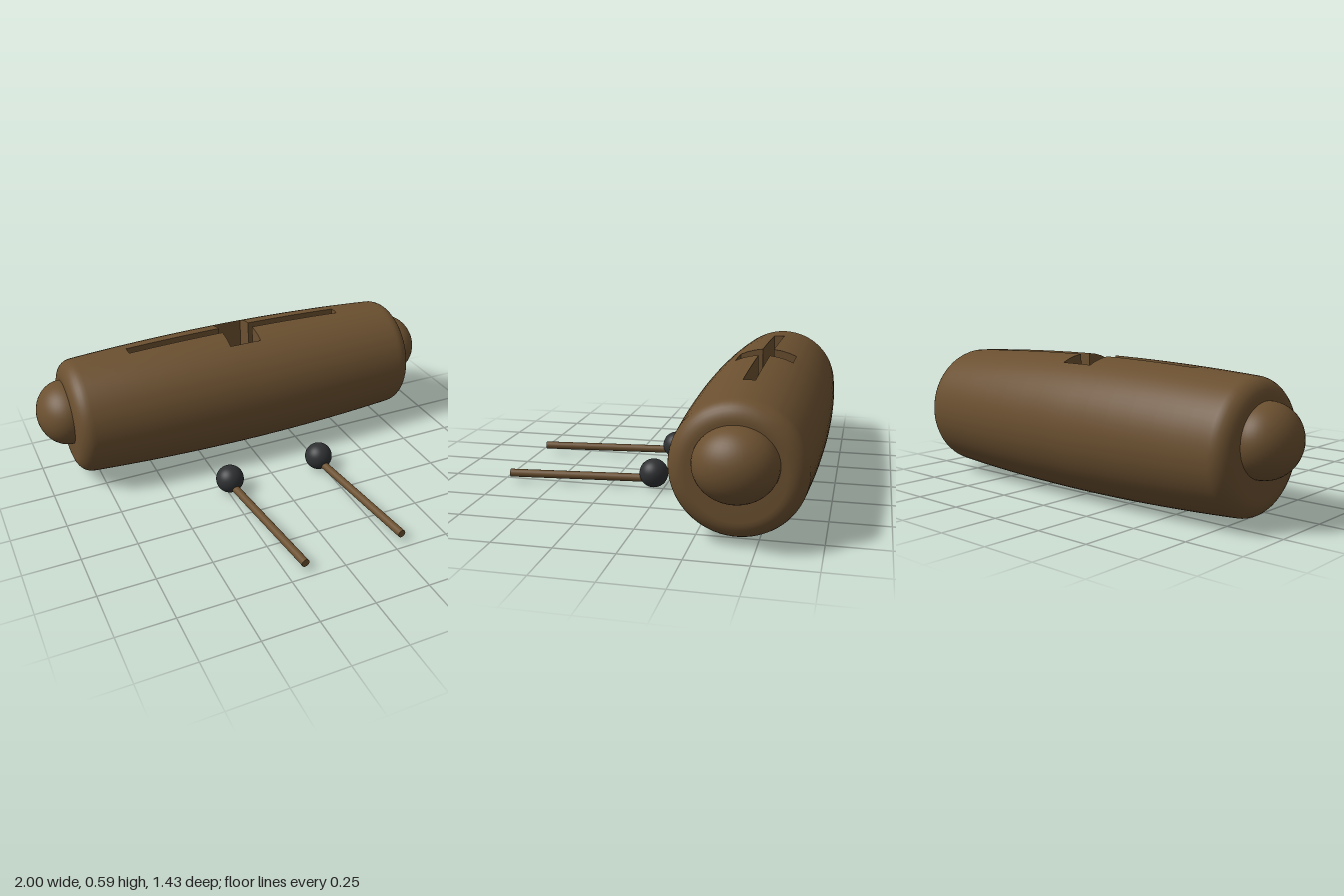
import * as THREE from 'three';

const CY = 0.301, CZ = -0.42;                       // drum axis
const SLOT_X = 0.545, SLOT_Z = 0.025;               // long narrow slit
const POCKET_X = 0.078, POCKET_Z = 0.128;           // wide centre opening
const FLOOR = 0.4;                                  // height of the carved floor

const radiusAt = (x) => 0.298 - 0.027 * (x / 0.79) ** 2;

// Barrel profile as [x, radius] from end to end
function barrelProfile() {
  const half = [0, 0.03, POCKET_X, 0.2, 0.31, 0.43, SLOT_X, 0.62, 0.7, 0.76, 0.79].map((x) => [x, radiusAt(x)]);
  for (let i = 1; i <= 8; i++) {
    const t = (i / 8) * Math.PI / 2;
    half.push([0.79 + 0.075 * Math.sin(t), 0.193 + 0.078 * Math.cos(t)]);
  }
  half.push([0.865, 0.1], [0.865, 0]);
  return [...half.slice(1).reverse().map(([x, r]) => [-x, r]), ...half];
}

// Barrel skin with the cross-shaped opening left out of its top
function barrelGeometry() {
  const rows = barrelProfile();
  const strip = [-POCKET_Z, -0.095, -0.06, -SLOT_Z, 0, SLOT_Z, 0.06, 0.095, POCKET_Z];
  const around = 56, cols = strip.length + around;
  const pos = [], index = [];
  for (const [x, r] of rows) {
    const k = Math.min(1, r / 0.26);
    const edge = r > 0 ? Math.asin(POCKET_Z * k / r) : 0.5;
    for (let j = 0; j < cols; j++) {
      let a;
      if (j < strip.length) a = r > 0 ? Math.asin(strip[j] * k / r) : strip[j] / 0.26;
      else a = edge + (2 * Math.PI - 2 * edge) * (j - strip.length + 1) / (around + 1);
      pos.push(x, CY + r * Math.cos(a), CZ + r * Math.sin(a));
    }
  }
  for (let i = 0; i < rows.length - 1; i++) {
    const mx = Math.abs(rows[i][0] + rows[i + 1][0]) / 2;
    for (let j = 0; j < cols; j++) {
      if (j < strip.length - 1) {
        const mz = Math.abs(strip[j] + strip[j + 1]) / 2;
        if ((mx < POCKET_X && mz < POCKET_Z) || (mx < SLOT_X && mz < SLOT_Z)) continue;
      }
      const n = (j + 1) % cols;
      const a = i * cols + j, b = i * cols + n, c = a + cols, d = b + cols;
      index.push(a, b, c, b, d, c);
    }
  }
  const g = new THREE.BufferGeometry();
  g.setAttribute('position', new THREE.Float32BufferAttribute(pos, 3));
  g.setIndex(index);
  g.computeVertexNormals();
  return g;
}

// Outline of the cross-shaped opening in x and z, mirrored from one quarter
function openingOutline() {
  const q = [[SLOT_X, 0], ...[SLOT_X, 0.43, 0.31, 0.2, POCKET_X].map((x) => [x, SLOT_Z]),
    ...[0.06, 0.095, POCKET_Z].map((z) => [POCKET_X, z]), [0.03, POCKET_Z], [0, POCKET_Z]];
  const flip = (sx, sz) => q.map(([x, z]) => [x * sx, z * sz]);
  return [flip(1, 1), flip(-1, 1).reverse(), flip(-1, -1), flip(1, -1).reverse()]
    .flatMap((part) => part.slice(0, -1));
}

function wallGeometry(outline) {
  const pos = [];
  const top = ([x, z]) => [x, CY + Math.sqrt(radiusAt(x) ** 2 - z * z), CZ + z];
  const low = ([x, z]) => [x, FLOOR, CZ + z];
  outline.forEach((p, i) => {
    const n = outline[(i + 1) % outline.length];
    pos.push(...top(p), ...low(p), ...top(n), ...low(p), ...low(n), ...top(n));
  });
  const g = new THREE.BufferGeometry();
  g.setAttribute('position', new THREE.Float32BufferAttribute(pos, 3));
  g.computeVertexNormals();
  return g;
}

export function createModel() {
  const model = new THREE.Group();
  model.name = 'slitDrumWithMallets';
  const wood = new THREE.MeshStandardMaterial({ color: 0x6b5030 });
  wood.name = 'brown wood';
  const rubber = new THREE.MeshStandardMaterial({ color: 0x2e3032 });
  rubber.name = 'dark rubber';

  const add = (parent, name, geometry, material) => {
    const mesh = new THREE.Mesh(geometry, material);
    mesh.name = name;
    parent.add(mesh);
    return mesh;
  };

  // Drum body and carved opening
  const drum = new THREE.Group();
  drum.name = 'drum';
  model.add(drum);
  add(drum, 'barrel', barrelGeometry(), wood);
  const outline = openingOutline();
  add(drum, 'openingWalls', wallGeometry(outline), wood);
  const floorShape = new THREE.Shape(outline.map(([x, z]) => new THREE.Vector2(x, z)));
  const floor = add(drum, 'openingFloor', new THREE.ShapeGeometry(floorShape).rotateX(-Math.PI / 2), wood);
  floor.position.set(0, FLOOR, CZ);

  // Rounded knobs on both ends
  for (const side of [-1, 1]) {
    const knob = add(drum, side > 0 ? 'leftKnob' : 'rightKnob', new THREE.SphereGeometry(1, 40, 28), wood);
    knob.scale.set(0.135, 0.149, 0.166);
    knob.position.set(0.865 * side, 0.335, CZ);
  }

  // Two mallets lying in front
  for (const [name, x] of [['rightMallet', -0.235], ['leftMallet', 0.23]]) {
    const mallet = new THREE.Group();
    mallet.name = name;
    mallet.position.set(x, 0, 0.048);
    const head = add(mallet, 'malletHead', new THREE.SphereGeometry(0.065, 32, 24), rubber);
    head.position.y = 0.068;
    const stick = add(mallet, 'malletStick', new THREE.CylinderGeometry(0.018, 0.018, 0.665, 20).rotateX(Math.PI / 2), wood);
    stick.rotation.y = Math.atan2(0.066, 0.663);
    stick.position.set(0.033, 0.043, 0.331);
    model.add(mallet);
  }
  return model;
}
